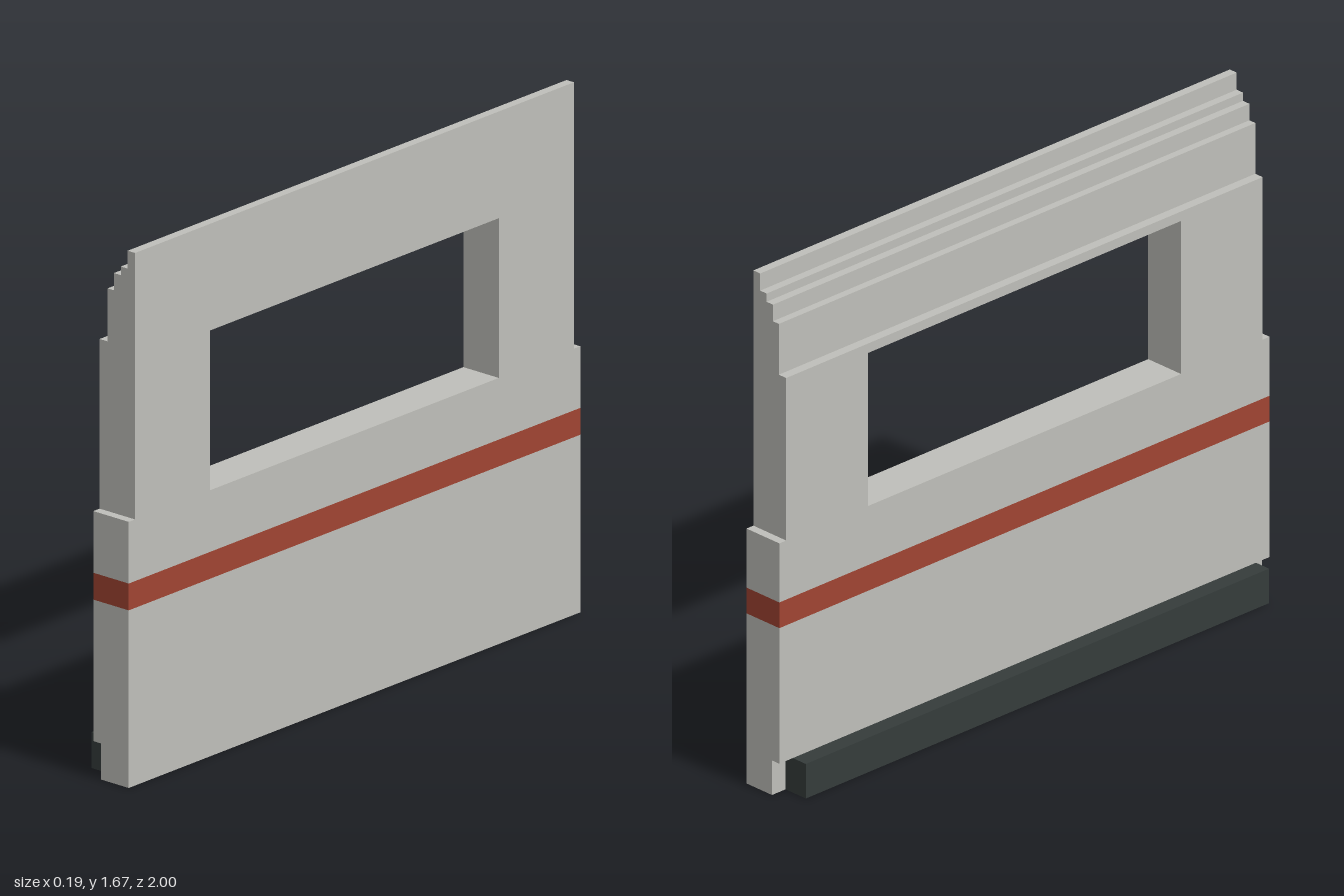
import * as THREE from 'three';

export function createModel() {
  const grey = new THREE.MeshStandardMaterial({ color: 0xbfbfba });
  grey.name = 'pale grey';
  const red = new THREE.MeshStandardMaterial({ color: 0xa04432 });
  red.name = 'brick red';
  const dark = new THREE.MeshStandardMaterial({ color: 0x353c3b });
  dark.name = 'charcoal';

  const model = new THREE.Group();
  model.name = 'wallPanel';

  // Extrudes an x-y cross-section along z between z0 and z1
  function section(name, points, z0, z1, material) {
    const shape = new THREE.Shape(points.map(([x, y]) => new THREE.Vector2(x, y)));
    const geometry = new THREE.ExtrudeGeometry(shape, { depth: z1 - z0, bevelEnabled: false });
    geometry.translate(0, 0, z0);
    const mesh = new THREE.Mesh(geometry, material);
    mesh.name = name;
    model.add(mesh);
  }
  const rect = (x0, x1, y0, y1) => [[x0, y0], [x1, y0], [x1, y1], [x0, y1]];

  const outer = 0.097, inner = -0.042; // the panel's two faces
  const notchX = -0.011, notchY = 0.113;
  const stripeLow = 0.556, stripeHigh = 0.64;
  const sill = 0.833, lintel = 1.333;
  const upperZ = 0.972, windowZ = 0.639;

  // Lower wall, rebated along the bottom for the rail
  section('lowerWall', [
    [notchX, 0], [outer, 0], [outer, stripeLow],
    [inner, stripeLow], [inner, notchY], [notchX, notchY],
  ], -1, 1, grey);
  section('stripe', rect(inner, outer, stripeLow, stripeHigh), -1, 1, red);
  section('sillWall', rect(inner, outer, stripeHigh, sill), -1, 1, grey);

  // Pillars on both sides of the window
  section('leftPillar', rect(inner, outer, sill, lintel), windowZ, upperZ, grey);
  section('rightPillar', rect(inner, outer, sill, lintel), -upperZ, -windowZ, grey);

  // Header, stepped back towards the top
  section('steppedHeader', [
    [inner, lintel], [outer, lintel], [outer, 1.667],
    [0.068, 1.667], [0.068, 1.611], [0.041, 1.611], [0.041, 1.584],
    [0.014, 1.584], [0.014, 1.53], [notchX, 1.53], [notchX, 1.364], [inner, 1.364],
  ], -upperZ, upperZ, grey);

  // Bottom rail
  section('bottomRail', rect(-0.097, notchX, 0, notchY), -0.945, 0.945, dark);

  return model;
}
